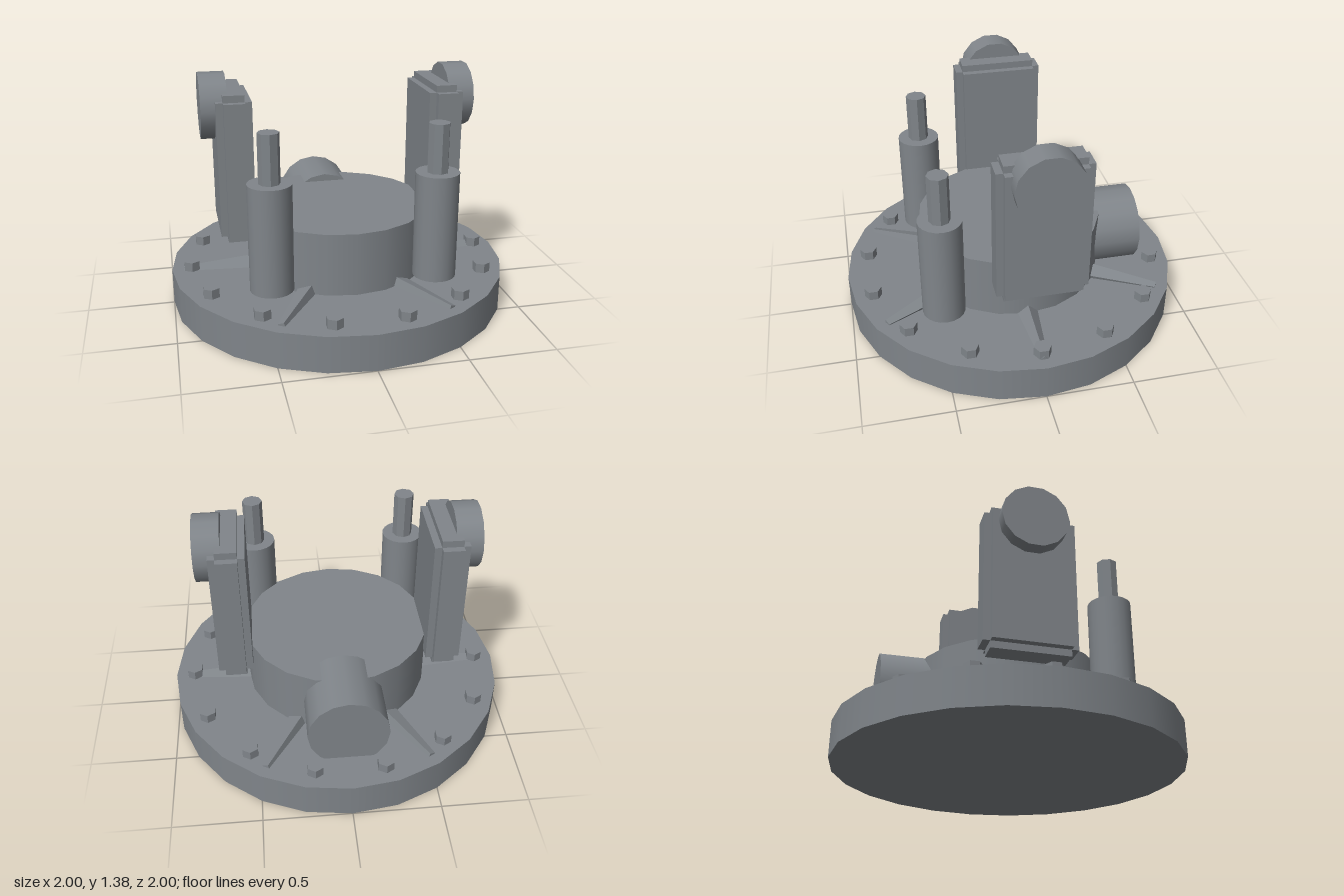
import * as THREE from 'three';

const color = 0x80858a;
const smooth = new THREE.MeshStandardMaterial({ color });
const flat = new THREE.MeshStandardMaterial({ color, flatShading: true });

export function createModel() {
  const model = new THREE.Group();

  function add(name, geometry, x, y, z, material = smooth, parent = model) {
    const mesh = new THREE.Mesh(geometry, material);
    mesh.name = name;
    mesh.position.set(x, y, z);
    parent.add(mesh);
    return mesh;
  }

  // Upright cylinder standing between two heights
  function column(name, radius, y0, y1, x, z, sides, material) {
    const geometry = new THREE.CylinderGeometry(radius, radius, y1 - y0, sides);
    return add(name, geometry, x, (y0 + y1) / 2, z, material);
  }

  // Round base flange and raised hub
  column('baseFlange', 1, 0, 0.21, 0, 0, 24);
  column('hub', 0.545, 0.2, 0.575, 0, 0, 20);

  // Horizontal outlet pipe at the back
  const pipe = new THREE.CylinderGeometry(0.23, 0.23, 0.4, 16).rotateX(Math.PI / 2);
  add('outletPipe', pipe, 0, 0.39, -0.573);

  // Ring of hexagonal bolts
  const boltCount = 14;
  for (let i = 0; i < boltCount; i++) {
    const a = ((i + 0.5) / boltCount) * Math.PI * 2;
    column('flangeBolt', 0.05, 0.2, 0.265, 0.883 * Math.sin(a), 0.883 * Math.cos(a), 6, flat);
  }

  // Six tapered square ribs radiating from the hub; the diagonal ones are
  // rolled so that their ridge leans towards the z axis
  const ribGeometry = new THREE.CylinderGeometry(0.026, 0.07, 0.48, 4).rotateZ(-Math.PI / 2);
  for (let i = 0; i < 6; i++) {
    const a = (i * Math.PI) / 3;
    const rib = add('rib', ribGeometry, 0.69 * Math.cos(a), 0.206, -0.69 * Math.sin(a), flat);
    rib.rotation.set(-0.5 * Math.sin(2 * a), a, 0, 'YXZ');
  }

  for (const side of [-1, 1]) {
    // Front post with a thin rod on top
    column('post', 0.123, 0.265, 0.88, side * 0.467, 0.475, 20);
    column('postRod', 0.06, 0.87, 1.16, side * 0.467, 0.475, 8, flat);

    // Side panel with stepped edges: three crossed slabs
    const panel = new THREE.Group();
    panel.name = 'sidePanel';
    panel.position.set(side * 0.61, 0.86, -0.05);
    model.add(panel);
    add('panelCore', new THREE.BoxGeometry(0.2, 0.78, 0.44), 0, 0, 0, flat, panel);
    add('panelTall', new THREE.BoxGeometry(0.12, 0.86, 0.44), 0, 0, 0, flat, panel);
    add('panelWide', new THREE.BoxGeometry(0.12, 0.78, 0.52), 0, 0, 0, flat, panel);

    // Round drum on the outer face of the panel
    const drum = new THREE.CylinderGeometry(0.19, 0.19, 0.15, 14).rotateZ(Math.PI / 2);
    add('drum', drum, side * 0.715, 1.192, -0.05);
  }

  return model;
}
